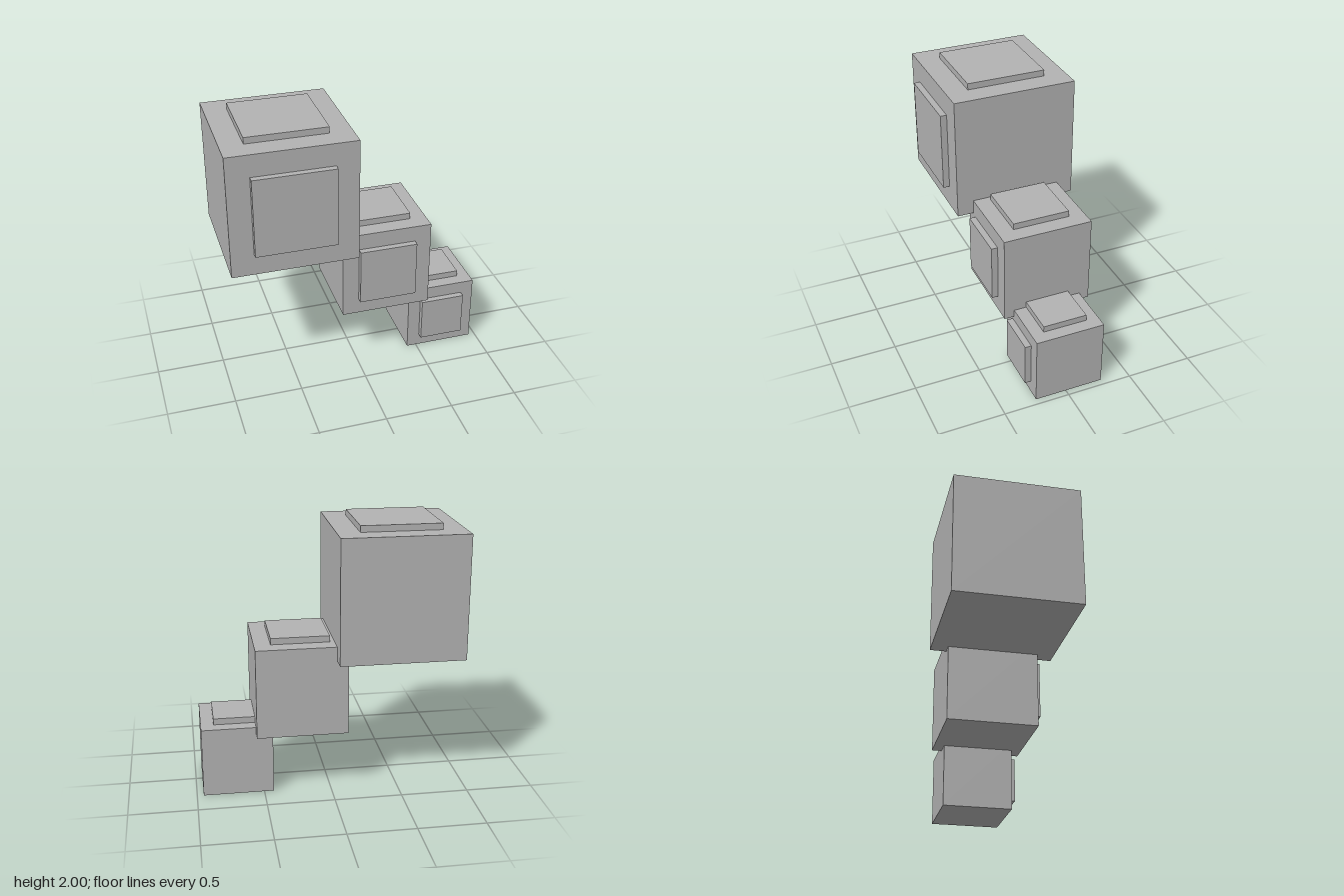
import * as THREE from 'three';

const PLATE = 0.047; // how far each raised panel stands out
const Z = -0.024; // shared depth centre of the cubes

export function createModel() {
  const model = new THREE.Group();
  model.name = 'cubeStaircase';

  const grey = new THREE.MeshStandardMaterial({ color: 0xb3b3b3 });
  grey.name = 'grey';

  const box = (parent, name, w, h, d, x, y, z) => {
    const mesh = new THREE.Mesh(new THREE.BoxGeometry(w, h, d), grey);
    mesh.name = name;
    mesh.position.set(x, y, z);
    parent.add(mesh);
  };

  // Each step: a cube with a square raised panel on its top and front
  const steps = [
    { name: 'largeCube', size: 0.92, panel: 0.59, x: -0.495, y: 1.494 },
    { name: 'mediumCube', size: 0.673, panel: 0.43, x: 0.215, y: 0.803 },
    { name: 'smallCube', size: 0.523, panel: 0.334, x: 0.69, y: 0.2615 },
  ];
  for (const { name, size, panel, x, y } of steps) {
    const step = new THREE.Group();
    step.name = name;
    step.position.set(x, y, Z);
    const offset = (size + PLATE) / 2;
    box(step, 'body', size, size, size, 0, 0, 0);
    box(step, 'topPanel', panel, PLATE, panel, 0, offset, 0);
    box(step, 'frontPanel', panel, panel, PLATE, 0, 0, offset);
    model.add(step);
  }
  return model;
}
